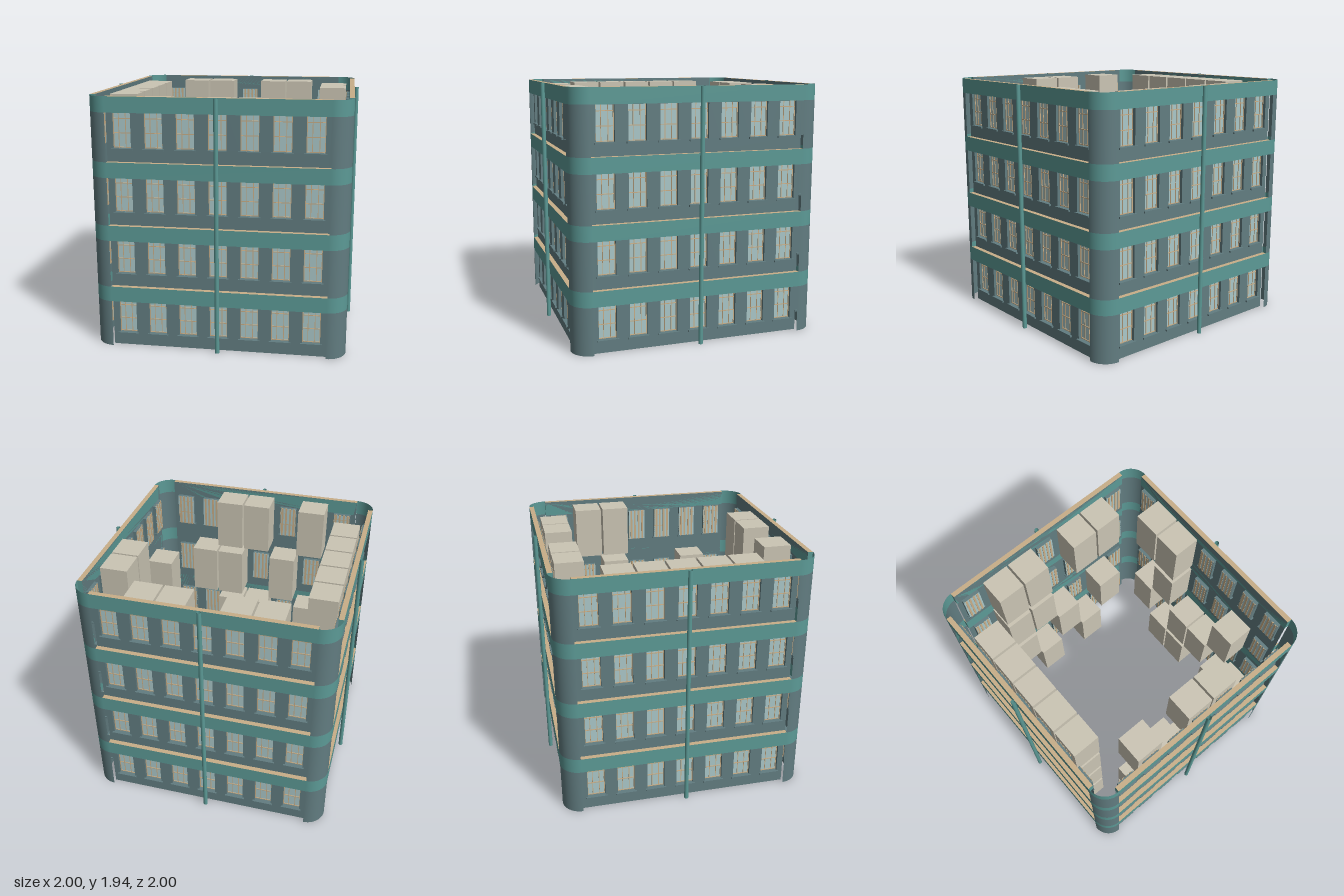
import * as THREE from 'three';

const FLOORS = 4, PITCH = 0.484, WALL_H = 0.366, BAND_H = PITCH - WALL_H;
const HALF = 0.822, WALL_Z = 0.93, OUT_Z = 0.968, GLASS_Z = 0.902;
const WIN_GAP = 0.236, WIN_W = 0.145, WIN_Y0 = 0.1;

function makeMat(name, color, doubleSided = false) {
  const m = new THREE.MeshStandardMaterial({ color });
  m.name = name;
  if (doubleSided) m.side = THREE.DoubleSide;
  return m;
}

export function createModel() {
  const wallMat = makeMat('slate wall', 0x627d81, true);
  const teal = makeMat('teal trim', 0x5c9a96, true);
  const tan = makeMat('tan wood', 0xc8ae88);
  const glass = makeMat('pale glass', 0xabc8c9, true);
  const beige = makeMat('beige room', 0xcbc5b4);

  const model = new THREE.Group();
  model.name = 'building';

  function add(parent, name, geometry, material, x = 0, y = 0, z = 0) {
    const mesh = new THREE.Mesh(geometry, material);
    mesh.name = name;
    mesh.position.set(x, y, z);
    parent.add(mesh);
    return mesh;
  }
  const box = (parent, name, mat, w, h, d, x, y, z) =>
    add(parent, name, new THREE.BoxGeometry(w, h, d), mat, x, y, z);

  // One recessed sash window, origin at its bottom centre
  function makeWindow() {
    const g = new THREE.Group();
    g.name = 'window';
    const h = WALL_H - WIN_Y0, depth = WALL_Z - GLASS_Z;
    const midZ = (WALL_Z + GLASS_Z) / 2, barZ = GLASS_Z + 0.003;
    add(g, 'glass', new THREE.PlaneGeometry(WIN_W, h), glass, 0, h / 2, GLASS_Z);
    for (const s of [-1, 1]) {
      box(g, 'reveal', wallMat, 0.004, h, depth, s * (WIN_W / 2 - 0.002), h / 2, midZ);
      box(g, 'sashSide', tan, 0.006, h, 0.006, s * (WIN_W / 2 - 0.007), h / 2, barZ);
      box(g, 'upright', tan, 0.005, h, 0.005, s * 0.026, h / 2, barZ);
    }
    box(g, 'lintel', wallMat, WIN_W, 0.004, depth, 0, h - 0.002, midZ);
    for (const y of [0.005, h * 0.42, h * 0.82])
      box(g, 'crossbar', tan, WIN_W - 0.01, 0.006, 0.006, 0, y, barZ);
    // Slats seen from inside
    for (const x of [-0.05, -0.018, 0.018, 0.05])
      box(g, 'blindSlat', tan, 0.016, h, 0.004, x, h / 2, GLASS_Z - 0.003);
    box(g, 'sill', wallMat, WIN_W + 0.018, 0.014, depth + 0.015, 0, -0.007, midZ + 0.007);
    return g;
  }
  const windowProto = makeWindow();

  // Wall sheet for one side with all its window openings
  const wallShape = new THREE.Shape();
  wallShape.moveTo(-HALF, 0);
  wallShape.lineTo(HALF, 0);
  wallShape.lineTo(HALF, FLOORS * PITCH);
  wallShape.lineTo(-HALF, FLOORS * PITCH);
  wallShape.closePath();
  for (let f = 0; f < FLOORS; f++) {
    for (let i = -3; i <= 3; i++) {
      const x = i * WIN_GAP, w = WIN_W / 2, y0 = f * PITCH + WIN_Y0, y1 = f * PITCH + WALL_H;
      const hole = new THREE.Path();
      hole.moveTo(x - w, y0);
      hole.lineTo(x - w, y1);
      hole.lineTo(x + w, y1);
      hole.lineTo(x + w, y0);
      hole.closePath();
      wallShape.holes.push(hole);
    }
  }
  const wallGeo = new THREE.ShapeGeometry(wallShape);

  const bandGeo = new THREE.BoxGeometry(HALF * 2, BAND_H, OUT_Z - WALL_Z);
  const bandMats = [teal, teal, tan, teal, teal, teal];
  const pipeGeo = new THREE.CylinderGeometry(0.017, 0.017, FLOORS * PITCH, 12, 1, true);
  const roomGeo = new THREE.BoxGeometry(0.22, 0.42, 0.214);
  const R = OUT_Z - HALF;
  const corner = h => new THREE.CylinderGeometry(R, R, h, 12, 1, true, 0, Math.PI / 2);
  const cornerWall = corner(WALL_H), cornerBand = corner(BAND_H);

  // Rooms present behind the five middle windows, lowest floor first
  const sides = [
    { name: 'frontSide', turn: 0, rooms: ['10010', '10110', '01011', '10110'] },
    { name: 'rightSide', turn: 1, rooms: ['10110', '01101', '10010', '00011'] },
    { name: 'backSide', turn: 2, rooms: ['01010', '10101', '00011', '11011'] },
    { name: 'leftSide', turn: 3, rooms: ['00001', '11111', '10111', '11111'] },
  ];

  for (const { name, turn, rooms } of sides) {
    const side = new THREE.Group();
    side.name = name;
    side.rotation.y = turn * Math.PI / 2;
    model.add(side);
    add(side, 'wall', wallGeo, wallMat, 0, 0, WALL_Z);
    add(side, 'drainpipe', pipeGeo, teal, 0, FLOORS * PITCH / 2, 0.983);

    for (let f = 0; f < FLOORS; f++) {
      const y = f * PITCH, bandY = y + WALL_H + BAND_H / 2;
      add(side, 'band', bandGeo, bandMats, 0, bandY, (WALL_Z + OUT_Z) / 2);
      add(side, 'cornerWall', cornerWall, wallMat, HALF, y + WALL_H / 2, HALF);
      add(side, 'cornerBand', cornerBand, teal, HALF, bandY, HALF);
      for (let i = -3; i <= 3; i++) {
        const w = windowProto.clone();
        w.position.set(i * WIN_GAP, y + WIN_Y0, 0);
        side.add(w);
      }
      for (let i = 0; i < 5; i++)
        if (rooms[f][i] === '1')
          add(side, 'room', roomGeo, beige, (i - 2) * WIN_GAP, y + 0.25, 0.79);
    }
  }
  return model;
}
